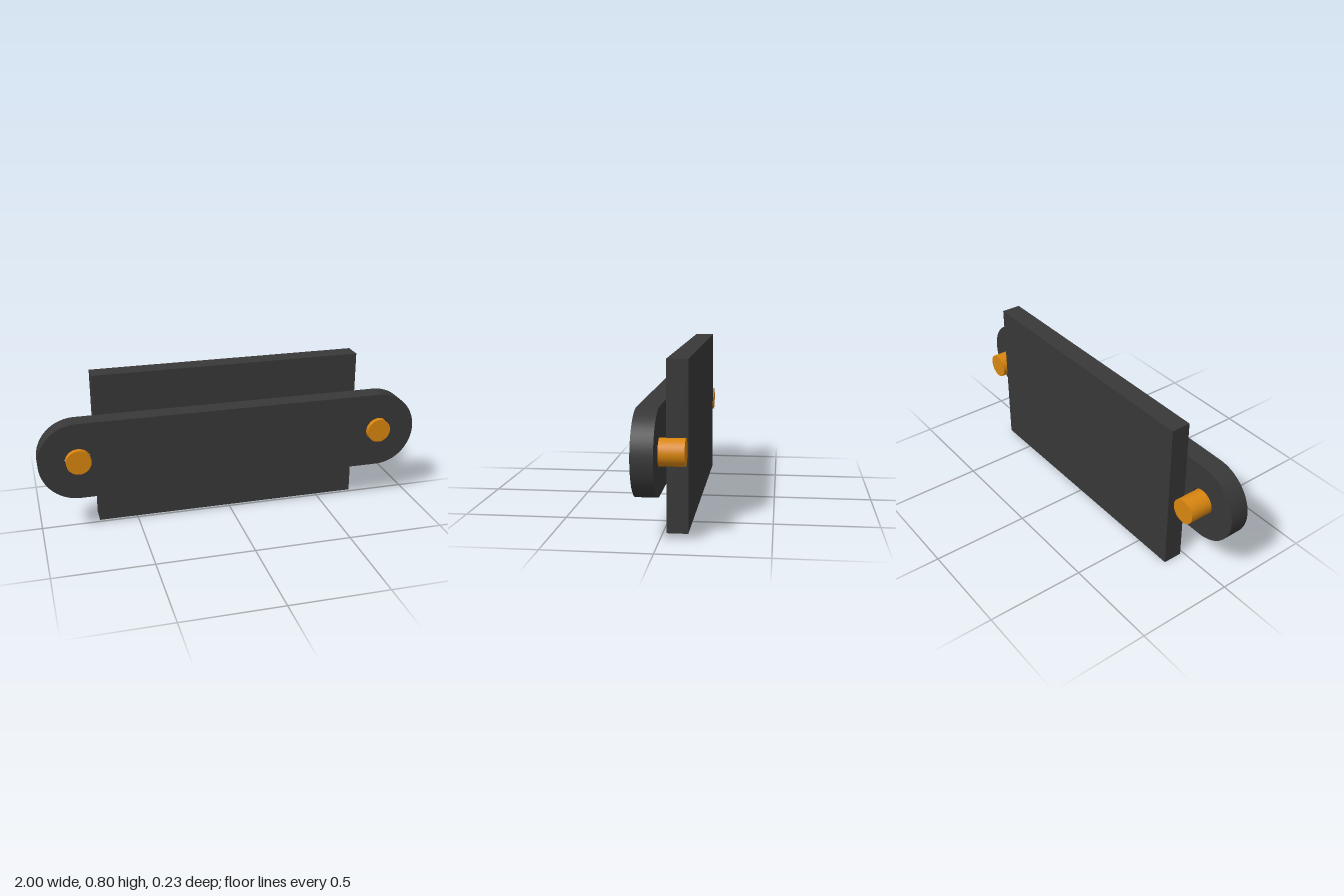
import * as THREE from 'three';

const darkSteel = new THREE.MeshStandardMaterial({ name: 'darkSteel', color: 0x383838 });
const orangePin = new THREE.MeshStandardMaterial({ name: 'orangePin', color: 0xd9860f });

const MID_Y = 0.4;   // height of the link and pins
const PIN_X = 0.8;   // pin distance from the centre
const END_R = 0.2;   // rounded link end
const PIN_R = 0.063;
const HOLE_R = 0.068;

function addPart(group, name, geometry, material, x, y, z) {
  const mesh = new THREE.Mesh(geometry, material);
  mesh.name = name;
  mesh.position.set(x, y, z);
  group.add(mesh);
  return mesh;
}

// Stadium-shaped bar with a through hole for each pin
function linkGeometry() {
  const shape = new THREE.Shape();
  shape.absarc(PIN_X, 0, END_R, -Math.PI / 2, Math.PI / 2, false);
  shape.absarc(-PIN_X, 0, END_R, Math.PI / 2, Math.PI * 1.5, false);
  shape.closePath();
  for (const side of [-1, 1]) {
    const hole = new THREE.Path();
    hole.absarc(side * PIN_X, 0, HOLE_R, 0, Math.PI * 2, true);
    shape.holes.push(hole);
  }
  return new THREE.ExtrudeGeometry(shape, { depth: 0.1, bevelEnabled: false, curveSegments: 32 });
}

export function createModel() {
  const model = new THREE.Group();
  model.name = 'chainLink';

  // Front link bar and rear plate
  addPart(model, 'linkBar', linkGeometry(), darkSteel, 0, MID_Y, 0);
  addPart(model, 'rearPlate', new THREE.BoxGeometry(1.4, 0.8, 0.1), darkSteel, 0, 0.4, -0.067);

  // Pins running through the bar from front to back
  const pinGeometry = new THREE.CylinderGeometry(PIN_R, PIN_R, 0.234, 32).rotateX(Math.PI / 2);
  addPart(model, 'leftPin', pinGeometry, orangePin, PIN_X, MID_Y, 0);
  addPart(model, 'rightPin', pinGeometry, orangePin, -PIN_X, MID_Y, 0);

  return model;
}
